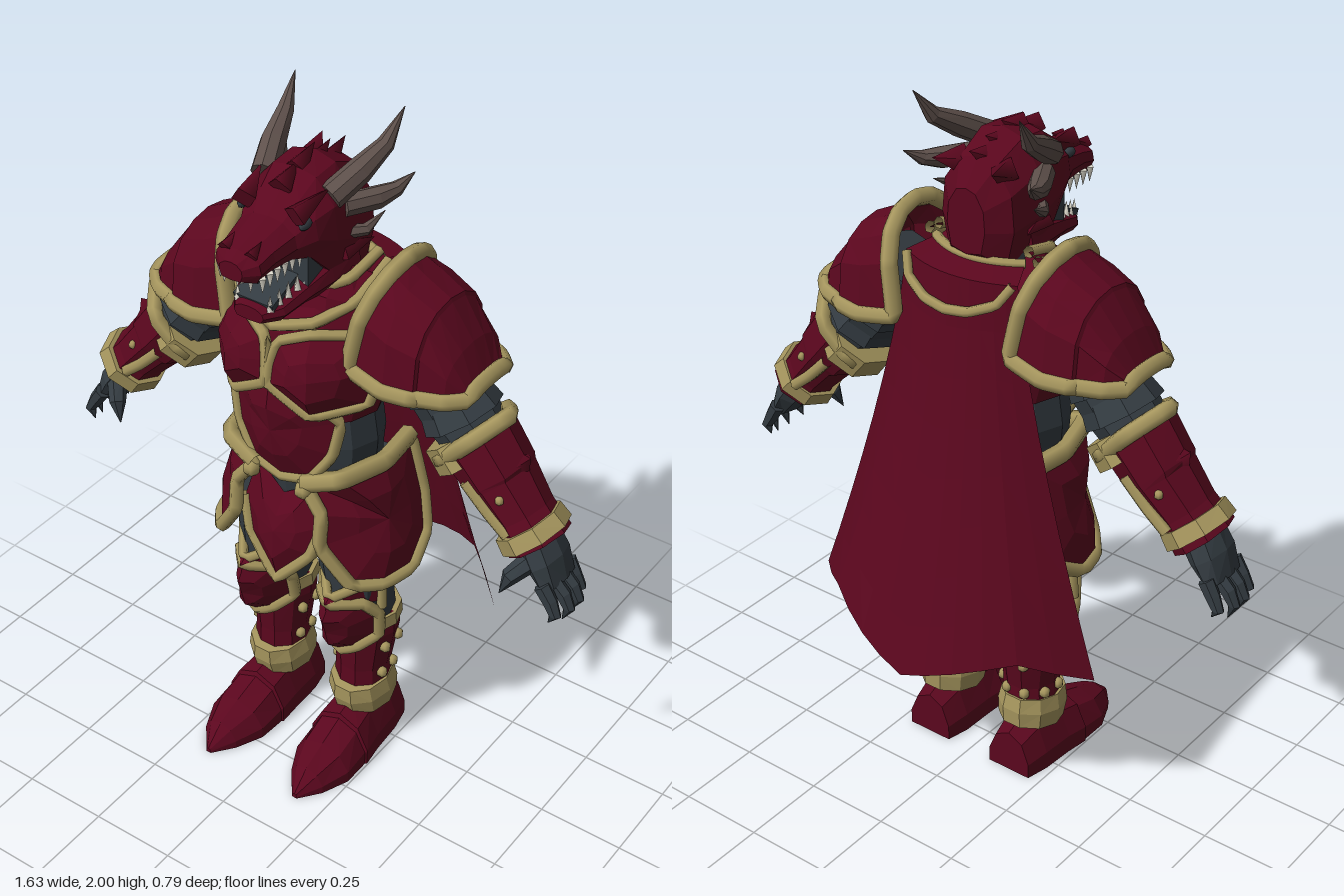
import * as THREE from 'three';

const mat = (name, color) => new THREE.MeshStandardMaterial({ name, color, side: THREE.DoubleSide });
const V = (p) => new THREE.Vector3(p[0], p[1], p[2]);

export function createModel() {
  const red = mat('crimson armour', 0x5b071e), gold = mat('gold trim', 0xa6965e);
  const dark = mat('slate hide', 0x343c42), horn = mat('horn', 0x5e504b), ivory = mat('tooth ivory', 0xe6e2d4);
  const model = new THREE.Group();
  model.name = 'dragonKnight';

  const add = (parent, name, geo, material) => {
    const mesh = new THREE.Mesh(geo, material);
    mesh.name = name;
    parent.add(mesh);
    return mesh;
  };
  const build = (pos, idx) => {
    const g = new THREE.BufferGeometry();
    g.setAttribute('position', new THREE.Float32BufferAttribute(pos, 3));
    g.setIndex(idx);
    const f = g.toNonIndexed();
    f.computeVertexNormals();
    return f;
  };
  // Skin over cross-sections; closed sections are capped
  const loft = (secs, closed = true) => {
    const m = secs[0].length, pos = secs.flat(2), idx = [];
    for (let i = 0; i + 1 < secs.length; i++) for (let j = 0; j < (closed ? m : m - 1); j++) {
      const a = i * m + j, b = i * m + (j + 1) % m;
      idx.push(a, b, a + m, b, b + m, a + m);
    }
    if (closed) [0, secs.length - 1].forEach((s) => {
      const c = pos.length / 3;
      for (let k = 0; k < 3; k++) pos.push(secs[s].reduce((t, p) => t + p[k], 0) / m);
      for (let j = 0; j < m; j++) {
        const a = s * m + j, b = s * m + (j + 1) % m;
        idx.push(c, ...(s ? [a, b] : [b, a]));
      }
    });
    return build(pos, idx);
  };
  // Tapered limb along [x, y, z, radiusA, radiusB] stations
  const limb = (path, n = 8) => {
    const pts = path.map(V), whole = pts.at(-1).clone().sub(pts[0]).normalize();
    const ref = Math.abs(whole.z) > 0.6 ? new THREE.Vector3(0, 1, 0) : new THREE.Vector3(0, 0, 1);
    return loft(path.map((p, i) => {
      const t = pts[Math.min(i + 1, pts.length - 1)].clone().sub(pts[Math.max(i - 1, 0)]).normalize();
      const b = ref.clone().addScaledVector(t, -ref.dot(t)).normalize();
      const a = b.clone().cross(t);
      return Array.from({ length: n }, (_, k) => {
        const w = (k / n) * Math.PI * 2;
        return pts[i].clone().addScaledVector(a, Math.cos(w) * p[3]).addScaledVector(b, Math.sin(w) * (p[4] ?? p[3])).toArray();
      });
    }));
  };
  // Rounded gold edging along a polyline
  const trim = (parent, name, pts, r = 0.016, closed = false) => add(parent, name, new THREE.TubeGeometry(
    new THREE.CatmullRomCurve3(pts.map(V), closed, 'catmullrom', 0.08), pts.length * 4, r, 6, closed), gold);
  // Domed plate inside an outline, with optional edging
  const plate = (parent, name, outline, centre, r = 0.016) => {
    const m = outline.length, avg = [0, 1, 2].map((k) => outline.reduce((t, p) => t + p[k], 0) / m);
    const mid = outline.map((p) => p.map((v, k) => (v + avg[k]) / 2 + (centre[k] - avg[k]) * 0.75));
    const tip = outline.map(() => centre);
    add(parent, name, loft([outline, mid, tip].map((s) => [...s, s[0]]), false), red);
    if (r) trim(parent, name + 'Trim', outline, r, true);
  };
  const stud = (parent, p, r = 0.013) => {
    add(parent, 'stud', new THREE.SphereGeometry(r, 6, 5), gold).position.set(...p);
  };
  const spike = (parent, name, p, dir, r, h, material, n = 4) => {
    const c = add(parent, name, new THREE.ConeGeometry(r, h, n), material);
    c.position.set(...p);
    c.quaternion.setFromUnitVectors(new THREE.Vector3(0, 1, 0), V(dir).normalize());
  };
  const mirrorX = (half) => [...half, ...half.filter((p) => p[0] > 0.001).reverse().map(([x, y, z]) => [-x, y, z])];
  // Full left-right strip from a half listed outer end first
  const strip = (half) => [...half, ...half.slice(0, -1).reverse().map(([x, y, z]) => [-x, y, z])];

  // Torso
  const torso = new THREE.Group();
  torso.name = 'torso';
  model.add(torso);
  add(torso, 'waist', limb([[0, 0.82, 0.03, 0.15, 0.12], [0, 0.93, 0.04, 0.19, 0.14], [0, 1.04, 0.05, 0.2, 0.15],
    [0, 1.1, 0.05, 0.205, 0.155], [0, 1.2, 0.05, 0.19, 0.15], [0, 1.28, 0.05, 0.19, 0.15]], 12), dark);
  add(torso, 'cuirass', limb([[0, 1.19, 0.05, 0.2, 0.16], [0, 1.3, 0.05, 0.235, 0.175], [0, 1.42, 0.04, 0.25, 0.175],
    [0, 1.5, 0.02, 0.22, 0.165], [0, 1.555, -0.02, 0.19, 0.12]], 12), red);
  add(torso, 'neck', limb([[0, 1.52, 0, 0.11, 0.11], [0, 1.68, 0.02, 0.1, 0.1]], 10), dark);
  const bib = strip([[0.175, 1.6, -0.03], [0.165, 1.54, 0.1], [0.1, 1.5, 0.19], [0, 1.475, 0.225]]);
  const collar = strip([[0.145, 1.62, -0.03], [0.135, 1.59, 0.08], [0.07, 1.56, 0.14], [0, 1.54, 0.165]]);
  add(torso, 'gorget', loft([bib, collar], false), red);
  trim(torso, 'gorgetTrim', bib, 0.017);
  trim(torso, 'collarTrim', collar, 0.016);
  plate(torso, 'abdomenPlate', mirrorX([[0, 1.31, 0.25], [0.12, 1.27, 0.21], [0.17, 1.21, 0.17], [0.15, 1.1, 0.18],
    [0.09, 1.01, 0.195], [0, 0.985, 0.2]]), [0, 1.16, 0.25]);
  plate(torso, 'loinPlate', mirrorX([[0, 0.92, 0.19], [0.1, 0.98, 0.17], [0.13, 0.86, 0.19], [0.1, 0.76, 0.21],
    [0, 0.65, 0.23]]), [0, 0.82, 0.245], 0);
  trim(torso, 'loinTrim', strip([[0.13, 0.86, 0.19], [0.1, 0.76, 0.21], [0, 0.65, 0.23]]), 0.018);
  spike(torso, 'chestOrnament', [0, 1.41, 0.245], [0, 1, 0.15], 0.035, 0.1, gold);

  // Cape, tucked under the collar
  const capeRows = Array.from({ length: 9 }, (_, i) => Array.from({ length: 13 }, (_, j) => {
    const v = i / 8, u = j / 6 - 1, w = Math.abs(u), arch = 1 - u * u;
    const hem = w < 0.66 ? 0.45 + 0.11 * w / 0.66 : 0.56 - 0.06 * (w - 0.66) / 0.34;
    return [u * (0.18 + 0.29 * v ** 1.3), 1.57 + (hem - 1.57) * v,
      -0.12 - 0.035 * v - arch * (0.05 + 0.195 * v ** 1.4)];
  }));
  const yoke = capeRows[0].map(([x, , z]) => [x * 0.8, 1.59, z + 0.08]);
  add(model, 'cape', loft([yoke, ...capeRows], false), red);
  trim(model, 'capeCollarTrim', strip([[0.17, 1.57, -0.13], [0.14, 1.52, -0.16], [0.07, 1.49, -0.185], [0, 1.48, -0.19]]), 0.014);
  trim(model, 'yokeTrim', yoke, 0.014);

  // Head: sections [z, half width, top, bottom]
  const head = new THREE.Group();
  head.name = 'head';
  model.add(head);
  const skull = (rows) => loft(rows.map(([z, w, t, b]) => {
    const h = t - b;
    const half = [[0.8, b + 0.06 * h], [1, b + 0.4 * h], [0.92, t - 0.28 * h], [0.5, t - 0.05 * h]];
    return [...half.map(([k, y]) => [k * w, y, z]), [0, t, z],
      ...half.slice().reverse().map(([k, y]) => [-k * w, y, z]), [0, b, z]];
  }));
  add(head, 'skullAndSnout', skull([[-0.1, 0.06, 1.78, 1.6], [-0.05, 0.115, 1.85, 1.55], [0.05, 0.13, 1.9, 1.55],
    [0.13, 0.13, 1.89, 1.61], [0.19, 0.115, 1.845, 1.68], [0.24, 0.088, 1.8, 1.695], [0.31, 0.075, 1.78, 1.695],
    [0.36, 0.07, 1.765, 1.685], [0.39, 0.035, 1.745, 1.695]]), red);
  add(head, 'lowerJaw', skull([[0.02, 0.125, 1.69, 1.54], [0.12, 0.115, 1.66, 1.55], [0.2, 0.1, 1.63, 1.555],
    [0.28, 0.08, 1.6, 1.54], [0.325, 0.045, 1.585, 1.545]]), red);
  add(head, 'throat', new THREE.BoxGeometry(0.18, 0.1, 0.1), dark).position.set(0, 1.66, 0.15);
  const tongue = add(head, 'tongue', new THREE.BoxGeometry(0.12, 0.02, 0.15), dark);
  tongue.position.set(0, 1.612, 0.235);
  tongue.rotation.x = 0.36;
  add(head, 'palate', new THREE.BoxGeometry(0.1, 0.008, 0.16), dark).position.set(0, 1.685, 0.27);
  for (let i = 0; i < 4; i++) {
    spike(head, 'crestScale', [0, 1.895 - Math.abs(i - 1) * 0.02, 0.15 - i * 0.065], [0, 0.5, -1], 0.035, 0.09, red);
  }
  for (const x of [-0.04, 0, 0.04]) spike(head, 'frontTooth', [x, 1.675, 0.365], [0, -1, 0], 0.008, 0.03, ivory);

  const makeHeadSide = (g) => {
    add(g, 'crownHorn', limb([[0.1, 1.83, 0.12, 0.036], [0.13, 1.875, 0.04, 0.034], [0.152, 1.92, -0.04, 0.023],
      [0.165, 2, -0.1, 0.001]]), horn);
    add(g, 'cheekHorn', limb([[0.11, 1.79, 0.08, 0.03], [0.155, 1.79, 0, 0.03], [0.18, 1.8, -0.05, 0.02],
      [0.2, 1.83, -0.1, 0.001]]), horn);
    add(g, 'jawHorn', limb([[0.1, 1.71, 0.08, 0.02], [0.145, 1.71, 0.03, 0.016], [0.16, 1.74, -0.03, 0.001]], 6), horn);
    spike(g, 'brow', [0.09, 1.84, 0.18], [0.25, 0.35, -1], 0.035, 0.12, red);
    spike(g, 'napeScale', [0.08, 1.83, -0.07], [0.3, 0.3, -1], 0.04, 0.1, red);
    spike(g, 'cheekScale', [0.12, 1.66, 0.03], [0.3, 0, -1], 0.035, 0.11, red);
    spike(g, 'nostrilRidge', [0.04, 1.77, 0.34], [0, 0.5, -1], 0.02, 0.05, red);
    const eye = add(g, 'eye', new THREE.SphereGeometry(0.02, 8, 6), dark);
    eye.position.set(0.093, 1.795, 0.213);
    eye.scale.set(0.6, 0.7, 1.2);
    for (let i = 0; i < 6; i++) spike(g, 'upperTooth', [0.064, 1.68, 0.2 + i * 0.03], [0, -1, 0], 0.012, 0.045, ivory);
    for (let i = 0; i < 5; i++) {
      spike(g, 'lowerTooth', [0.078 - i * 0.007, 1.637 - i * 0.009, 0.19 + i * 0.028], [0, 1, 0], 0.012, 0.045, ivory);
    }
  };

  const makeChestSide = (g) => {
    plate(g, 'breastPlate', [[0.005, 1.32, 0.26], [0.12, 1.245, 0.235], [0.225, 1.27, 0.13], [0.25, 1.38, 0.11],
      [0.21, 1.46, 0.11], [0.1, 1.47, 0.2], [0.02, 1.44, 0.235], [0.005, 1.38, 0.25]], [0.13, 1.37, 0.265], 0.016);
    // Hip guard wrapping from front to back, hung from a belt
    const guard = [[0.08, 1, 0.21], [0.18, 1.04, 0.19], [0.22, 1.03, 0.04], [0.205, 1.03, -0.1],
      [0.25, 0.86, -0.105], [0.28, 0.75, -0.08], [0.3, 0.69, 0.02], [0.275, 0.685, 0.12], [0.22, 0.7, 0.19],
      [0.14, 0.82, 0.225], [0.14, 0.92, 0.215]];
    plate(g, 'hipGuard', guard, [0.265, 0.88, 0.08], 0.02);
    trim(g, 'belt', guard.slice(0, 4), 0.027);
    stud(g, [0.085, 0.985, 0.22], 0.026);
  };

  const makePauldron = (g) => {
    const rows = [[0.19, 1.39, 1.65, 0.165, 0.06], [0.3, 1.37, 1.62, 0.18, 0], [0.38, 1.37, 1.58, 0.165, 0],
      [0.385, 1.37, 1.57, 0.155, 0], [0.45, 1.37, 1.48, 0.13, 0], [0.495, 1.37, 1.39, 0.085, 0]].map(([x, base, top, rz, lean]) =>
      Array.from({ length: 9 }, (_, k) => {
        const a = (k / 8) * Math.PI, s = Math.max(0, Math.sin(a));
        return [x + lean * s, base + (top - base) * s ** 0.65, rz * Math.cos(a)];
      }));
    add(g, 'pauldron', loft(rows, false), red);
    const inner = rows.slice(1, -1);
    trim(g, 'pauldronTrim', [...rows[0], ...inner.map((r) => r[8]), ...rows.at(-1).slice().reverse(),
      ...inner.map((r) => r[0]).reverse()], 0.024, true);
  };

  const makeArm = (g) => {
    add(g, 'upperArm', limb([[0.26, 1.47, 0, 0.1], [0.35, 1.35, 0, 0.105], [0.41, 1.27, 0, 0.1], [0.5, 1.18, 0, 0.09]]), dark);
    for (const t of [0, 0.05]) add(g, 'armScale', limb([[0.34 + t, 1.37 - t * 1.3, 0, 0.095], [0.385 + t, 1.31 - t * 1.3, 0, 0.113]]), dark);
    add(g, 'forearm', limb([[0.47, 1.21, 0, 0.112, 0.108], [0.55, 1.115, 0, 0.102, 0.102], [0.56, 1.105, 0, 0.09, 0.1],
      [0.63, 1.025, 0.005, 0.08, 0.088], [0.685, 0.96, 0.01, 0.088, 0.095]]), red);
    spike(g, 'forearmFin', [0.615, 1.18, 0], [0.5, 0.4, 0], 0.06, 0.05, red);
    trim(g, 'elbowTrim', [[0.565, 1.3, 0], [0.5, 1.24, 0.1], [0.42, 1.15, 0.085], [0.395, 1.11, 0], [0.42, 1.15, -0.085],
      [0.5, 1.24, -0.1]], 0.024, true);
    // Elbow strap, showing on the inner side of the arm
    add(g, 'elbowBand', limb([[0.425, 1.2, 0, 0.102, 0.112], [0.475, 1.145, 0, 0.108, 0.116]]), gold);
    add(g, 'wristBand', limb([[0.645, 1.007, 0.01, 0.095, 0.1], [0.675, 0.972, 0.01, 0.102, 0.105]]), gold);
    for (const z of [0.09, -0.09]) {
      trim(g, 'forearmTrim', [[0.5, 1.12, z], [0.57, 1.05, z * 0.97], [0.63, 1, z * 0.95]], 0.018);
      stud(g, [0.6, 1.1, z * 0.95]);
    }
    // Clawed hand
    add(g, 'palm', limb([[0.67, 0.98, 0.01, 0.055, 0.07], [0.71, 0.92, 0.01, 0.05, 0.08], [0.745, 0.86, 0.01, 0.03, 0.075]]), dark);
    for (let i = 0; i < 4; i++) {
      const z = -0.055 + i * 0.044, d = [0.02, 0, 0, 0.015][i];
      add(g, 'finger', limb([[0.735, 0.88, z, 0.023], [0.778 - d, 0.84, z, 0.021], [0.797 - d, 0.805, z * 1.05, 0.017],
        [0.78 - d, 0.76 + d, z * 1.1, 0.001]], 6), dark);
    }
    add(g, 'thumb', limb([[0.69, 0.93, 0.06, 0.03], [0.655, 0.89, 0.105, 0.024], [0.635, 0.835, 0.12, 0.001]], 6), dark);
  };

  const makeLeg = (g) => {
    add(g, 'thigh', limb([[0.11, 0.98, 0.03, 0.1, 0.13], [0.13, 0.8, 0.045, 0.115, 0.13], [0.14, 0.6, 0.045, 0.095, 0.105],
      [0.145, 0.46, 0.01, 0.085, 0.09]], 10), dark);
    add(g, 'greave', limb([[0.145, 0.48, 0, 0.09, 0.09], [0.145, 0.41, 0.005, 0.096, 0.098], [0.143, 0.28, 0.01, 0.078, 0.085],
      [0.143, 0.15, 0.01, 0.085, 0.09]], 10), red);
    add(g, 'greaveBand', limb([[0.145, 0.48, 0.003, 0.098, 0.1], [0.145, 0.442, 0.003, 0.102, 0.102]], 10), gold);
    plate(g, 'kneePlate', [[0.08, 0.58, 0.13], [0.145, 0.595, 0.19], [0.21, 0.58, 0.12], [0.238, 0.53, 0.08], [0.232, 0.45, 0.07],
      [0.19, 0.415, 0.12], [0.145, 0.39, 0.13], [0.1, 0.415, 0.12], [0.058, 0.45, 0.07], [0.055, 0.53, 0.09]], [0.145, 0.5, 0.205], 0.019);
    // Flared upper rim of the knee guard
    plate(g, 'kneeCop', [[0.06, 0.645, 0.09], [0.145, 0.615, 0.19], [0.235, 0.65, 0.07], [0.235, 0.57, 0.07],
      [0.145, 0.57, 0.18], [0.06, 0.57, 0.09]], [0.145, 0.595, 0.19], 0);
    trim(g, 'kneeCopTrim', [[0.055, 0.55, 0.09], [0.06, 0.645, 0.09], [0.145, 0.615, 0.19], [0.235, 0.65, 0.07],
      [0.24, 0.55, 0.07]], 0.014);
    for (const y of [0.37, 0.265]) for (let i = 0; i < 6; i++) {
      const a = Math.PI * (-0.1 + i * 0.24), r = y > 0.3 ? 0.093 : 0.08;
      stud(g, [0.144 + Math.cos(a) * r, y, 0.007 - Math.sin(a) * r], 0.017);
    }
    add(g, 'ankleBand', limb([[0.144, 0.235, 0.02, 0.084, 0.105], [0.144, 0.19, 0.015, 0.094, 0.11],
      [0.144, 0.14, 0.008, 0.09, 0.1]], 10), gold);
    // Pointed boot: [z, centre x, half width, height]
    add(g, 'boot', loft([[-0.1, 0.145, 0.07, 0.13], [-0.03, 0.145, 0.085, 0.16], [0.07, 0.147, 0.09, 0.16], [0.14, 0.15, 0.097, 0.145],
      [0.145, 0.15, 0.092, 0.13], [0.23, 0.153, 0.09, 0.1], [0.31, 0.155, 0.055, 0.07], [0.37, 0.155, 0.008, 0.015]].map(([z, x, w, h]) =>
      [[1, 0], [1, 0.35], [0.65, 0.82], [0, 1], [-0.65, 0.82], [-1, 0.35], [-1, 0]].map(([a, b]) => [x + a * w, b * h, z]))), red);
  };

  for (const [side, s] of [['left', 1], ['right', -1]]) {
    for (const [part, make] of Object.entries({ HeadSide: makeHeadSide, BodyPlates: makeChestSide, Shoulder: makePauldron,
      Arm: makeArm, Leg: makeLeg })) {
      const g = new THREE.Group();
      g.name = side + part;
      make(g);
      g.scale.x = s;
      model.add(g);
    }
  }
  return model;
}
